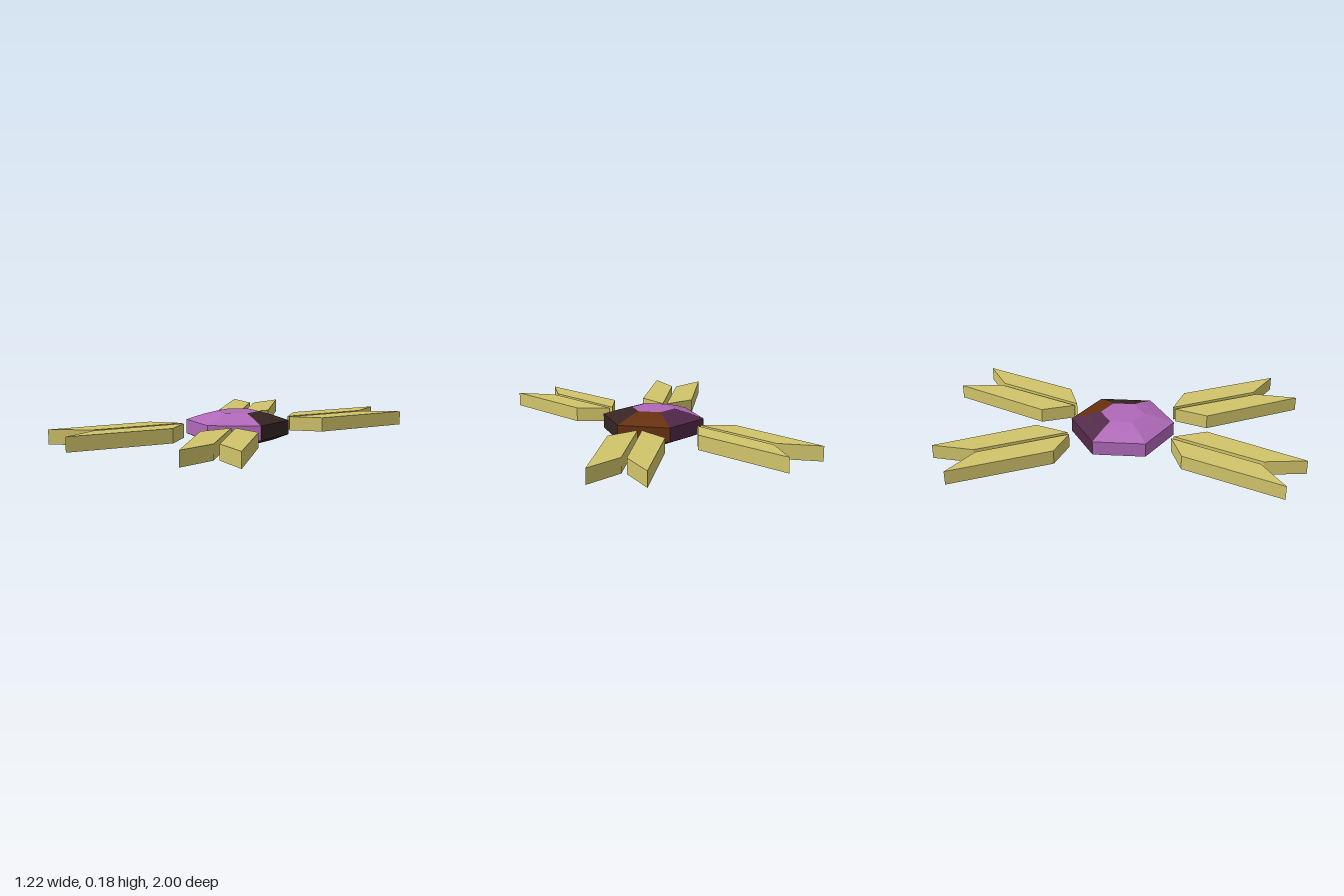
import * as THREE from 'three';

const material = (name, color) => {
  const m = new THREE.MeshStandardMaterial({ color });
  m.name = name;
  return m;
};

export function createModel() {
  const model = new THREE.Group();
  model.name = 'gemOrnament';

  const gold = material('gold', 0xd2c46b);
  const purple = material('purple', 0xb069b9);
  const plum = material('dark plum', 0x52294a);
  const brown = material('brown', 0x66300f);
  const umber = material('dark umber', 0x362523);

  // Gem: hexagonal rings [radius, y] from the bottom table to the top table
  const rings = [
    [0.122, 0], [0.2, 0.02], [0.289, 0.053],
    [0.289, 0.133], [0.2, 0.163], [0.122, 0.183],
  ];
  const corner = ([r, y], k) => {
    const a = (k * Math.PI) / 3;
    return [r * Math.sin(a), y, r * Math.cos(a)];
  };
  const addFaces = (name, points, mat, parent) => {
    const geo = new THREE.BufferGeometry();
    geo.setAttribute('position', new THREE.Float32BufferAttribute(points.flat(), 3));
    geo.computeVertexNormals();
    const mesh = new THREE.Mesh(geo, mat);
    mesh.name = name;
    parent.add(mesh);
  };

  const gem = new THREE.Group();
  gem.name = 'gem';
  model.add(gem);

  // Six facet sectors, counted from the front towards +x
  const sectorMaterials = [purple, umber, brown, plum, purple, purple];
  const tables = [];
  sectorMaterials.forEach((mat, k) => {
    const points = [];
    for (let i = 0; i < rings.length - 1; i++) {
      const a = corner(rings[i], k), b = corner(rings[i], k + 1);
      const c = corner(rings[i + 1], k + 1), d = corner(rings[i + 1], k);
      points.push(a, b, c, a, c, d);
    }
    addFaces('gemFacets' + (k + 1), points, mat, gem);
    // Flat tables above and below
    const top = rings[rings.length - 1], bottom = rings[0];
    tables.push([0, top[1], 0], corner(top, k), corner(top, k + 1));
    tables.push([0, bottom[1], 0], corner(bottom, k + 1), corner(bottom, k));
  });
  addFaces('gemTables', tables, purple, gem);

  // Blades: two outlines [x, z], repeated in all four corners
  const outlines = {
    innerBlade: [[0.158, 0.292], [0.09, 0.475], [0.354, 1], [0.382, 0.768]],
    outerBlade: [[0.178, 0.28], [0.36, 0.34], [0.608, 0.87], [0.405, 0.752]],
  };
  for (const sx of [1, -1]) {
    for (const sz of [1, -1]) {
      const pair = new THREE.Group();
      pair.name = (sz > 0 ? 'front' : 'back') + (sx > 0 ? 'Left' : 'Right') + 'Blades';
      for (const [name, outline] of Object.entries(outlines)) {
        const shape = new THREE.Shape(outline.map(([x, z]) => new THREE.Vector2(sx * x, -sz * z)));
        const geo = new THREE.ExtrudeGeometry(shape, { depth: 0.08, bevelEnabled: false });
        geo.rotateX(-Math.PI / 2);
        geo.translate(0, 0.053, 0);
        const blade = new THREE.Mesh(geo, gold);
        blade.name = name;
        pair.add(blade);
      }
      model.add(pair);
    }
  }
  return model;
}
